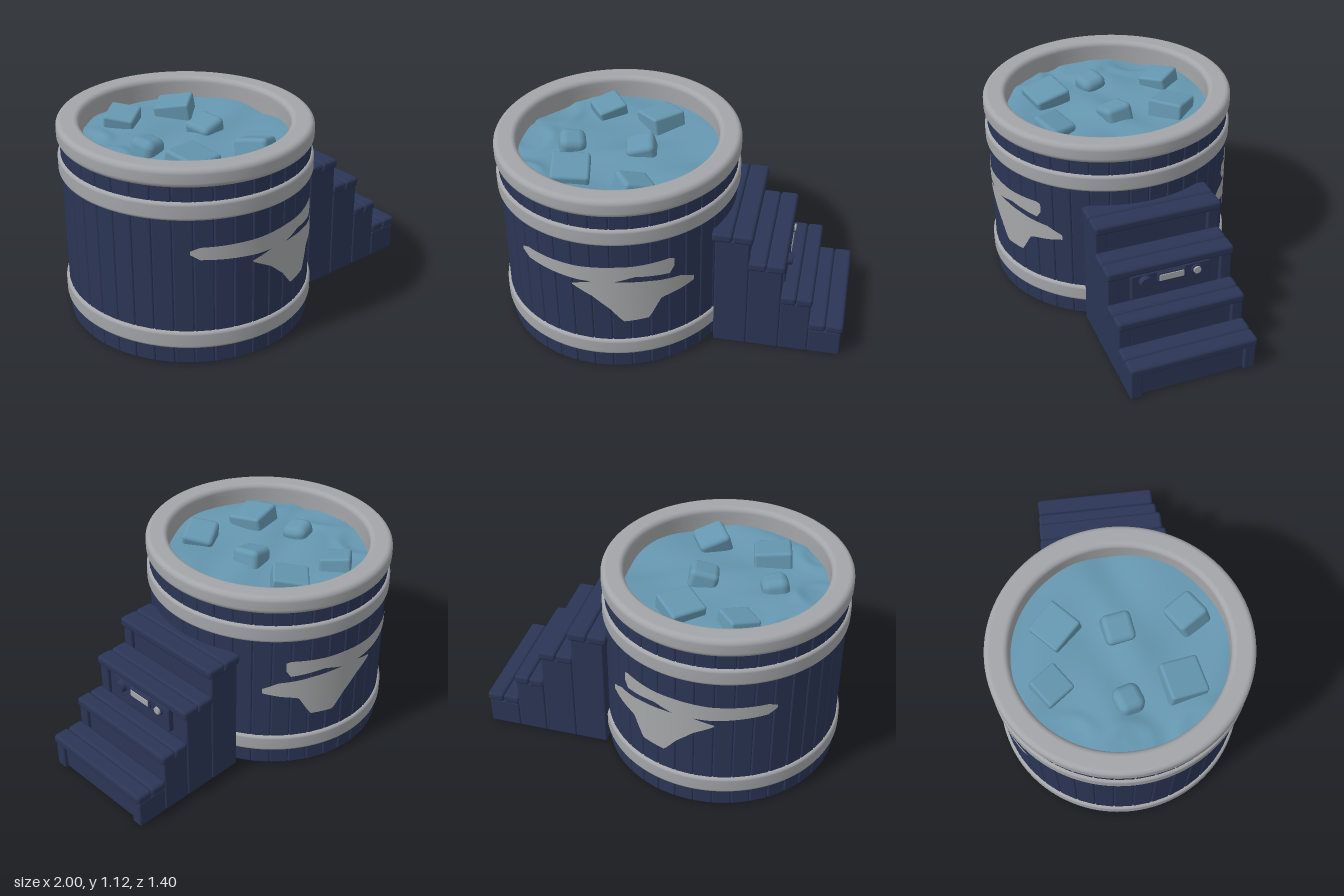
import * as THREE from 'three';
import { mergeVertices } from 'three/addons/utils/BufferGeometryUtils.js';
import { RoundedBoxGeometry } from 'three/addons/geometries/RoundedBoxGeometry.js';

const material = (name, color, side = THREE.FrontSide) => {
  const m = new THREE.MeshStandardMaterial({ color, side });
  m.name = name;
  return m;
};

export function createModel() {
  const navy = material('navy wood', 0x2b3555);
  const grey = material('light grey', 0xa3a5a8);
  const paint = material('grey paint', 0xa6a7a8, THREE.DoubleSide);
  const blue = material('icy blue', 0x6597b0);

  const model = new THREE.Group();
  model.name = 'iceBathTub';
  const add = (parent, name, geometry, mat, x = 0, y = 0, z = 0) => {
    const mesh = new THREE.Mesh(geometry, mat);
    mesh.name = name;
    mesh.position.set(x, y, z);
    parent.add(mesh);
    return mesh;
  };
  // Rounded box given by its two opposite corners
  const slab = (parent, name, mat, [x0, x1], [y0, y1], [z0, z1], r = 0.012) =>
    add(parent, name, new RoundedBoxGeometry(x1 - x0, y1 - y0, z1 - z0, 2, r), mat,
      (x0 + x1) / 2, (y0 + y1) / 2, (z0 + z1) / 2);

  // Tub, very slightly narrower along x
  const tub = new THREE.Group();
  tub.name = 'tub';
  tub.position.x = -0.325;
  tub.scale.x = 0.965;
  model.add(tub);

  // Staves
  const staveCount = 40;
  const staves = new THREE.Group();
  staves.name = 'staves';
  tub.add(staves);
  const staveGeometry = new RoundedBoxGeometry(0.1065, 1.03, 0.1, 2, 0.01);
  for (let i = 0; i < staveCount; i++) {
    const a = ((i + 0.5) / staveCount) * Math.PI * 2;
    const stave = add(staves, 'stave', staveGeometry, navy, Math.sin(a) * 0.633, 0.515, Math.cos(a) * 0.633);
    stave.rotation.y = a;
  }

  // Floor set in a little from the bottom edge
  add(tub, 'floor', new THREE.CylinderGeometry(0.6, 0.6, 0.04, 64), navy, 0, 0.04, 0);

  // Hoops and padded rim: a rounded rectangle turned about the axis
  const ring = (name, rIn, rOut, y0, y1, bevel) => {
    const points = [];
    const corners = [[rOut - bevel, y0 + bevel, -90], [rOut - bevel, y1 - bevel, 0],
      [rIn + bevel, y1 - bevel, 90], [rIn + bevel, y0 + bevel, 180]];
    for (const [cx, cy, start] of corners) {
      for (let k = 0; k <= 5; k++) {
        const a = THREE.MathUtils.degToRad(start + k * 18);
        points.push(new THREE.Vector2(cx + Math.cos(a) * bevel, cy + Math.sin(a) * bevel));
      }
    }
    points.push(points[0].clone());
    add(tub, name, new THREE.LatheGeometry(points, 96), grey);
  };
  ring('lowerHoop', 0.65, 0.7, 0.1, 0.2, 0.018);
  ring('upperHoop', 0.65, 0.7, 0.84, 0.94, 0.018);
  ring('rim', 0.572, 0.7, 1.015, 1.12, 0.03);
  ring('rimLining', 0.572, 0.62, 0.93, 1.09, 0.01);

  // Plain painted patches wrapped on both sides; each column is x, low y, high y
  const patch = (columns, sign) => {
    const n = 40, R = 0.689, positions = [], indices = [];
    const first = columns[0][0], last = columns[columns.length - 1][0];
    for (let i = 0; i <= n; i++) {
      const X = first + ((last - first) * i) / n;
      let k = 0;
      while (k < columns.length - 2 && X > columns[k + 1][0]) k++;
      const [a, b] = [columns[k], columns[k + 1]];
      const t = (X - a[0]) / (b[0] - a[0]);
      const x = (X + 0.325) / 0.965, z = sign * Math.sqrt(R * R - x * x);
      positions.push(x, a[1] + (b[1] - a[1]) * t, z, x, a[2] + (b[2] - a[2]) * t, z);
      if (i < n) {
        const v = i * 2;
        if (sign > 0) indices.push(v, v + 2, v + 1, v + 1, v + 2, v + 3);
        else indices.push(v, v + 1, v + 2, v + 1, v + 3, v + 2);
      }
    }
    const g = new THREE.BufferGeometry();
    g.setAttribute('position', new THREE.Float32BufferAttribute(positions, 3));
    g.setIndex(indices);
    g.computeVertexNormals();
    add(tub, 'paintedPatch', g, paint);
  };
  const upperPatch = [[-0.73, 0.65, 0.67], [-0.69, 0.62, 0.69], [-0.4, 0.6, 0.69], [-0.21, 0.6, 0.7],
    [-0.1, 0.63, 0.7], [0.07, 0.61, 0.71], [0.09, 0.65, 0.7]];
  const lowerPatch = [[-0.43, 0.56, 0.57], [-0.32, 0.5, 0.6], [-0.23, 0.42, 0.601], [-0.16, 0.33, 0.601],
    [-0.03, 0.34, 0.59], [0.03, 0.46, 0.58], [0.12, 0.48, 0.57], [0.18, 0.5, 0.53]];
  for (const sign of [1, -1]) {
    patch(upperPatch, sign);
    patch(lowerPatch, sign);
  }

  // Ice: x, z, size, turn, tilt about x, tilt about z, corner radius
  const ice = [
    [-0.47, -0.38, 0.17, 0.65, 0.12, 0.1, 0.015],
    [-0.15, -0.32, 0.2, 0.75, -0.2, 0.15, 0.015],
    [-0.59, 0.01, 0.15, 0.3, 0.15, -0.2, 0.045],
    [-0.19, 0.0, 0.16, 0.2, 0.1, 0.22, 0.03],
    [-0.52, 0.3, 0.21, 0.2, 0.16, -0.1, 0.018],
    [-0.16, 0.38, 0.18, 0.55, -0.15, -0.22, 0.025],
  ];
  const waterY = 0.995;

  // Rippled water with a low swell around every cube
  let water = new THREE.RingGeometry(0.001, 0.585, 96, 36).rotateX(-Math.PI / 2);
  water.deleteAttribute('uv');
  water.deleteAttribute('normal');
  water = mergeVertices(water, 1e-5);
  const p = water.attributes.position;
  for (let i = 0; i < p.count; i++) {
    const x = p.getX(i), z = p.getZ(i);
    let y = 0.008 * Math.sin(9 * x + 4 * Math.sin(5 * z)) + 0.007 * Math.sin(12 * z - 5 * x + 1);
    for (const [cx, cz, size] of ice) {
      const d = Math.hypot(x + 0.325 - (cx + 0.325) * 0.035 - cx, z - cz) - size * 0.72;
      y += 0.014 * Math.exp(-d * d * 700);
    }
    p.setY(i, y);
  }
  water.computeVertexNormals();
  add(tub, 'water', water, blue, 0, waterY, 0);

  for (const [x, z, size, turn, tiltX, tiltZ, r] of ice) {
    const cube = add(model, 'iceCube', new RoundedBoxGeometry(size, 0.16, size, 2, r), blue, x, waterY - 0.01, z);
    cube.rotation.set(tiltX, turn, tiltZ);
  }

  // Stairs: body x range, body height, tread x range, tread top
  const stairs = new THREE.Group();
  stairs.name = 'stairs';
  model.add(stairs);
  const steps = [
    [0.275, 0.462, 0.71, 0.255, 0.48, 0.75],
    [0.462, 0.645, 0.54, 0.455, 0.66, 0.58],
    [0.645, 0.81, 0.33, 0.642, 0.82, 0.373],
    [0.81, 0.99, 0.16, 0.805, 1.0, 0.21],
  ];
  for (const [x0, x1, h, t0, t1, top] of steps) {
    slab(stairs, 'riser', navy, [x0, x1 - 0.02], [0.005, h], [-0.3, 0.3], 0.006);
    for (const s of [-1, 1]) {
      slab(stairs, 'sidePanel', navy, [x0, x1], [0, h], [s * 0.322 - 0.033, s * 0.322 + 0.033], 0.01);
    }
    const mid = (t0 + t1) / 2;
    slab(stairs, 'treadBoard', navy, [t0, mid], [top - 0.056, top], [-0.36, 0.36], 0.018);
    slab(stairs, 'treadBoard', navy, [mid, t1], [top - 0.056, top], [-0.36, 0.36], 0.018);
  }

  // Control panel on the third riser
  const panel = new THREE.Group();
  panel.name = 'controlPanel';
  stairs.add(panel);
  slab(panel, 'panelPlate', navy, [0.61, 0.655], [0.37, 0.525], [-0.225, 0.225], 0.008);
  slab(panel, 'displayFrame', navy, [0.64, 0.664], [0.453, 0.517], [-0.082, 0.082], 0.008);
  slab(panel, 'display', grey, [0.66, 0.668], [0.465, 0.505], [-0.07, 0.07], 0.003);
  const dial = (name, mat, r, length, z) => {
    const d = add(panel, name, new THREE.CylinderGeometry(r * 0.85, r, length, 24), mat, 0.65 + length / 2, 0.483, z);
    d.rotation.z = -Math.PI / 2;
  };
  dial('knob', navy, 0.036, 0.033, 0.15);
  dial('buttonRing', navy, 0.034, 0.012, -0.145);
  dial('button', grey, 0.024, 0.022, -0.145);

  return model;
}
